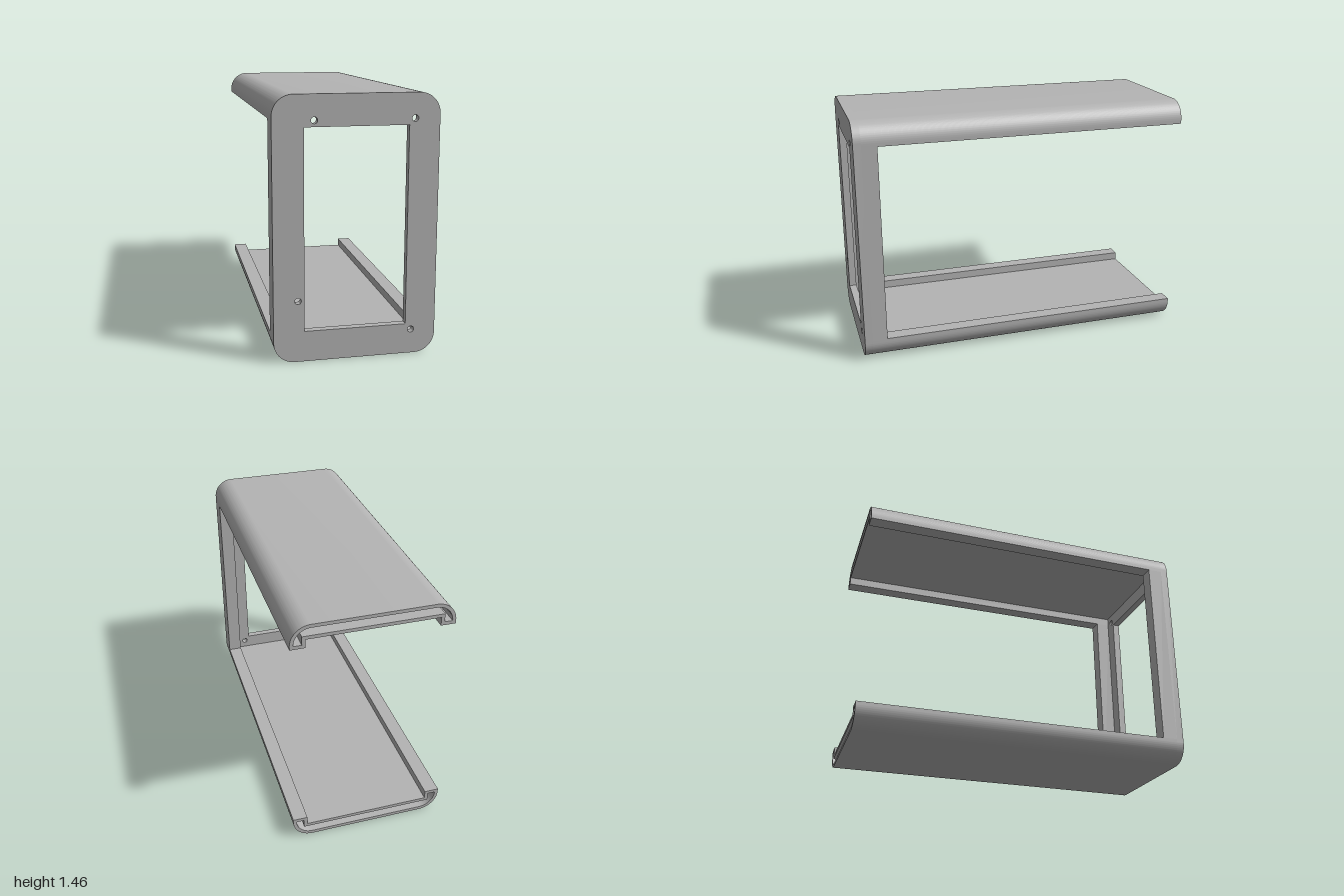
import * as THREE from 'three';
import { toCreasedNormals } from 'three/addons/utils/BufferGeometryUtils.js';

const HW = 0.455, H = 1.455;   // half width and height of the housing
const R = 0.115;               // outer corner radius
const WALL = 0.085;            // wall thickness
const LIP = 0.135;             // height of the rail lips
const PLATE = 0.045;           // face plate thickness
const SKIN = 0.02;             // skin around the hollow of a rail

// Shallow channel with rounded lower corners, shrunk inwards by d
function channel(path, d) {
  const r = R - d, top = LIP - d, inner = HW - WALL + d, floor = WALL - d;
  path.moveTo(-HW + d, top);
  path.lineTo(-HW + d, R);
  path.absarc(-HW + R, R, r, Math.PI, Math.PI * 1.5, false);
  path.absarc(HW - R, R, r, Math.PI * 1.5, Math.PI * 2, false);
  path.lineTo(HW - d, top);
  path.lineTo(inner, top);
  path.lineTo(inner, floor);
  path.lineTo(-inner, floor);
  path.lineTo(-inner, top);
  path.closePath();
  return path;
}

function extrude(shape, depth, z) {
  const geo = new THREE.ExtrudeGeometry(shape, { depth, bevelEnabled: false, curveSegments: 16 });
  geo.translate(0, 0, z);
  return toCreasedNormals(geo, 0.5);
}

export function createModel() {
  const group = new THREE.Group();
  const grey = new THREE.MeshStandardMaterial({ color: 0xb4b4b4 });
  grey.name = 'grey';
  const add = (name, geo) => {
    const mesh = new THREE.Mesh(geo, grey);
    mesh.name = name;
    group.add(mesh);
    return mesh;
  };

  // Face plate with a window and four screw holes
  const face = new THREE.Shape();
  face.absarc(HW - R, H - R, R, 0, Math.PI / 2, false);
  face.absarc(-HW + R, H - R, R, Math.PI / 2, Math.PI, false);
  face.absarc(-HW + R, R, R, Math.PI, Math.PI * 1.5, false);
  face.absarc(HW - R, R, R, Math.PI * 1.5, Math.PI * 2, false);
  face.closePath();
  const wx = 0.285, wy = 0.172;
  face.holes.push(new THREE.Path([[-wx, wy], [-wx, H - wy], [wx, H - wy], [wx, wy]]
    .map(([x, y]) => new THREE.Vector2(x, y))));
  for (const [x, y] of [[-0.23, 1.318], [0.317, 1.318], [-0.32, 0.345], [0.317, 0.138]]) {
    face.holes.push(new THREE.Path().absarc(x, y, 0.018, 0, Math.PI * 2, true));
  }
  add('facePlate', extrude(face, PLATE, 1 - PLATE));

  // Hollow bottom and top rails, the top one turned over
  const rail = channel(new THREE.Shape(), 0);
  rail.holes.push(channel(new THREE.Path(), SKIN));
  const railGeo = extrude(rail, 2 - PLATE, -1);
  add('bottomRail', railGeo);
  const topRail = add('topRail', railGeo);
  topRail.rotation.z = Math.PI;
  topRail.position.y = H;

  // Posts joining the rails behind the face plate
  const postDepth = 0.135 - PLATE;
  for (const side of [-1, 1]) {
    const post = add(side > 0 ? 'leftPost' : 'rightPost',
      new THREE.BoxGeometry(WALL, H - 2 * LIP, postDepth));
    post.position.set(side * (HW - WALL / 2), H / 2, 1 - PLATE - postDepth / 2);
  }
  return group;
}
